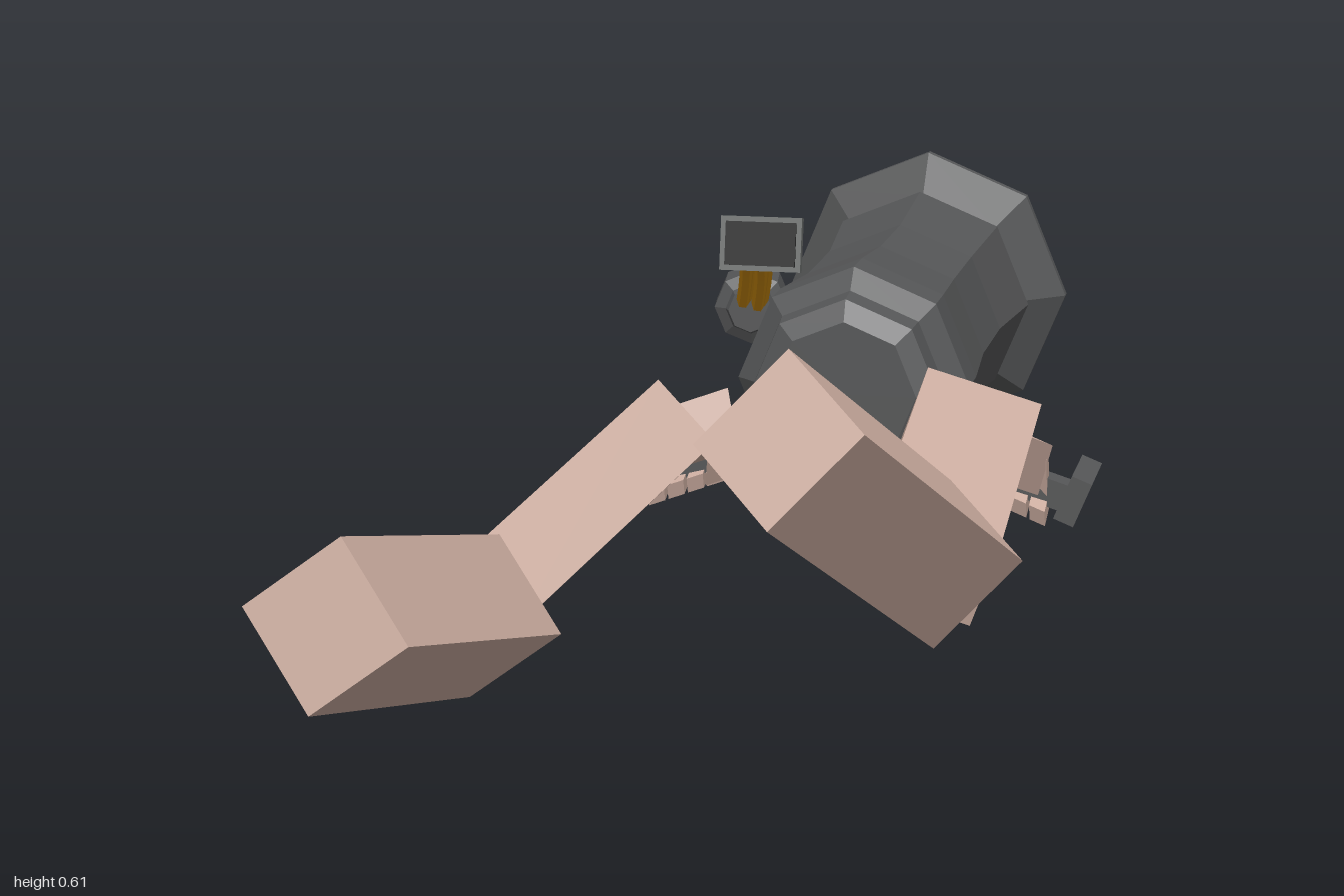
import * as THREE from 'three';

const mat = (name, color) => {
  const m = new THREE.MeshStandardMaterial({ color });
  m.name = name;
  return m;
};

const V = (a) => new THREE.Vector3(...a);

// Hard-edged copy of a geometry
function faceted(geo) {
  const g = geo.index ? geo.toNonIndexed() : geo;
  g.computeVertexNormals();
  return g;
}

function addMesh(parent, name, geo, material) {
  const m = new THREE.Mesh(geo, material);
  m.name = name;
  parent.add(m);
  return m;
}

// Box given by one corner and three edge vectors
function block(corner, u, v, w) {
  let [a, b, c] = [V(u), V(v), V(w)];
  const centre = V(corner).addScaledVector(a, 0.5).addScaledVector(b, 0.5).addScaledVector(c, 0.5);
  if (a.clone().cross(b).dot(c) < 0) [a, b] = [b, a];
  const m = new THREE.Matrix4().makeBasis(a, b, c).setPosition(centre);
  return faceted(new THREE.BoxGeometry(1, 1, 1).applyMatrix4(m));
}

// Eight-sided turned part along z; profile points are [radius, distance towards the back]
function turned(profile) {
  const g = new THREE.LatheGeometry(profile.map(([r, d]) => new THREE.Vector2(r, d)), 8);
  return faceted(g.rotateX(-Math.PI / 2));
}

const AXIS_X = 0.11;
const AXIS_Y = 0.343;

export function createModel() {
  const model = new THREE.Group();
  model.name = 'heldCannon';
  const metal = mat('dark metal', 0x565758);
  const skin = mat('skin', 0xcdaea1);
  const orange = mat('orange', 0xcc8a0c);
  const frameGrey = mat('frame grey', 0x686b6a);
  const black = mat('black', 0x080808);

  // Cannon body with flared, hollow rear
  const body = addMesh(model, 'cannonBody', turned([
    [0, 0.045], [0.11, 0.045], [0.142, 0.06], [0.147, 0.1], [0.178, 0.13], [0.178, 0.2],
    [0.165, 0.37], [0.165, 0.56], [0.185, 0.76], [0.173, 0.79], [0.237, 0.848], [0.237, 0.865],
    [0.205, 0.865], [0.165, 0.825], [0.14, 0.825], [0.13, 0.845], [0.1, 0.845], [0.08, 0.8], [0, 0.8],
  ]), metal);
  body.position.set(AXIS_X, AXIS_Y, 0);

  // Rear spike
  const spike = addMesh(model, 'rearSpike', turned([
    [0, 0.79], [0.042, 0.79], [0.02, 1], [0, 1],
  ]), orange);
  spike.position.set(AXIS_X, AXIS_Y, 0);

  // Side canister where the cables join
  const canister = addMesh(model, 'sideCanister', turned([
    [0, -0.065], [0.035, -0.065], [0.04, -0.05], [0.058, -0.04],
    [0.058, 0.035], [0.04, 0.05], [0.035, 0.065], [0, 0.065],
  ]), metal);
  canister.position.set(-0.09, 0.415, -0.345);
  canister.rotation.y = 0.15;

  // Cable bundles: one forward to the screen, one back beneath the body
  const bundles = [
    ['screenCable', 0.011, [[-0.08, 0.425, -0.29], [-0.065, 0.465, -0.24], [-0.05, 0.51, -0.18], [-0.04, 0.545, -0.12]]],
    ['lowerCable', 0.01, [[-0.095, 0.4, -0.4], [-0.075, 0.32, -0.48], [-0.04, 0.22, -0.55],
      [0.01, 0.13, -0.64], [0.045, 0.125, -0.72], [0.08, 0.17, -0.82]]],
  ];
  for (const [name, r, path] of bundles) {
    for (let i = 0; i < 4; i++) {
      const a = i * Math.PI / 2 + 0.4;
      const points = path.map(([x, y, z]) => V([x + 0.017 * Math.cos(a), y + 0.013 * Math.sin(a), z + 0.01 * Math.sin(a)]));
      const curve = new THREE.CatmullRomCurve3(points);
      addMesh(model, name + (i + 1), faceted(new THREE.TubeGeometry(curve, 12, r, 6)), orange);
    }
  }

  // Tilted screen
  const screen = new THREE.Group();
  screen.name = 'screen';
  screen.position.set(-0.027, 0.555, -0.105);
  screen.rotation.x = -0.2;
  model.add(screen);
  addMesh(screen, 'screenFrame', new THREE.BoxGeometry(0.124, 0.082, 0.014), frameGrey);
  addMesh(screen, 'screenDisplay', new THREE.BoxGeometry(0.108, 0.066, 0.006), black).position.z = 0.007;
  const back = new THREE.CylinderGeometry(0.025, 0.055, 0.025, 4).rotateY(Math.PI / 4).rotateX(-Math.PI / 2);
  addMesh(screen, 'screenBack', faceted(back), metal).position.z = -0.019;

  // Arms: each box has a corner and three edges
  addMesh(model, 'leftUpperArm', block([0.094, 0.496, 0.907], [0.113, 0.118, -0.035], [0.11, -0.084, 0.083], [0.14, -0.267, -0.425]), skin);
  addMesh(model, 'rightUpperArm', block([-0.49, 0.26, 0.93], [0.131, 0.097, -0.01], [0.098, -0.128, 0.04], [0.065, -0.128, -0.5]), skin);
  addMesh(model, 'leftForearm', block([0.255, 0.415, 0.065], [0.165, -0.05, -0.012], [-0.04, -0.107, -0.025], [0, -0.105, 0.45]), skin);
  addMesh(model, 'rightForearm', block([-0.136, 0.39, 0.114], [0.084, -0.09, 0], [-0.058, -0.06, -0.061], [-0.2, -0.185, 0.37]), skin);

  // Handles and hands, mirrored about the cannon's axis
  for (const side of [1, -1]) {
    const group = new THREE.Group();
    group.name = side > 0 ? 'leftGrip' : 'rightGrip';
    model.add(group);
    const part = (name, material, p, ...edges) => {
      const corner = [AXIS_X + side * (p[0] - AXIS_X), p[1], p[2]];
      const e = edges.map(([x, y, z]) => [side * x, y, z]);
      addMesh(group, name, block(corner, ...e), material);
    };
    part('handleRoot', metal, [0.19, 0.235, -0.13], [0.09, -0.03, 0], [0.025, 0.085, 0], [0, 0, 0.06]);
    part('handleBar', metal, [0.22, 0.235, -0.125], [0.225, -0.07, 0], [0.013, 0.04, 0], [0, 0, 0.04]);
    part('handlePlate', metal, [0.43, 0.172, -0.165], [0.03, -0.012, 0], [0.027, 0.066, 0], [0, 0, 0.135]);

    // Hand
    part('palm', skin, [0.268, 0.365, 0.04], [0.118, -0.04, 0.026], [0.035, -0.055, -0.15], [-0.018, -0.072, 0.022]);
    part('thumb', skin, [0.28, 0.275, -0.03], [0.028, -0.01, 0.005], [0.01, -0.06, -0.03], [0, -0.01, 0.025]);

    // Four fingers curled round the bar
    for (let i = 0; i < 4; i++) {
      const [x, y, z] = [0.303 + i * 0.029, 0.298 - i * 0.01, -0.115 + i * 0.006];
      const width = [0.024, -0.008, 0.005];
      part('fingerUpper' + (i + 1), skin, [x, y, z], width, [0, -0.068, -0.02], [0, -0.008, 0.025]);
      part('fingerTip' + (i + 1), skin, [x, y - 0.068, z - 0.02], width, [0, -0.018, 0.055], [0, -0.024, -0.008]);
    }
  }
  return model;
}
